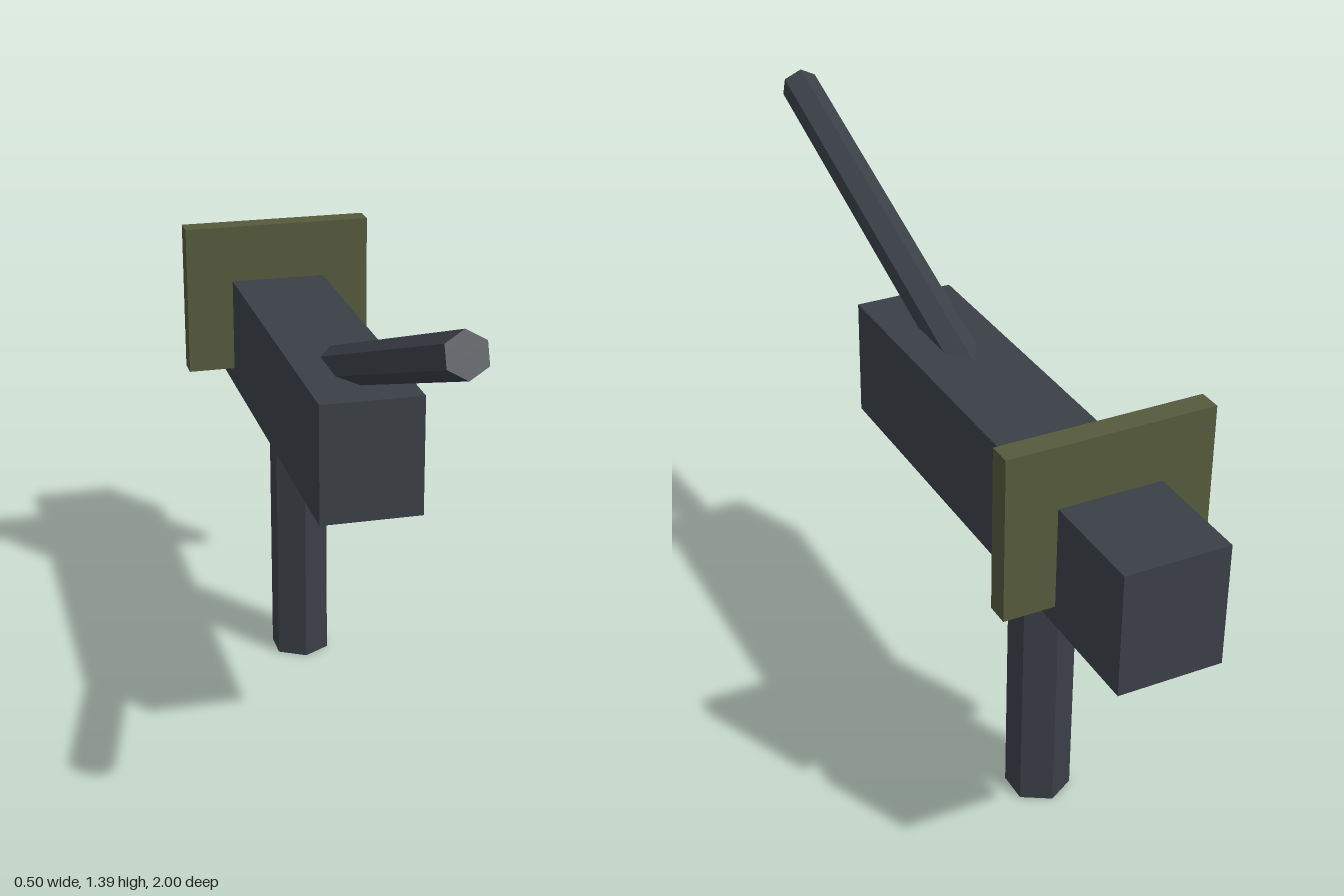
import * as THREE from 'three';

export function createModel() {
  const model = new THREE.Group();
  const gunmetal = new THREE.MeshStandardMaterial({ color: 0x3b4047 });
  gunmetal.name = 'gunmetal grey';
  const olive = new THREE.MeshStandardMaterial({ color: 0x555a3c });
  olive.name = 'olive green';
  gunmetal.flatShading = olive.flatShading = true;

  const add = (name, geometry, material, x, y, z) => {
    const mesh = new THREE.Mesh(geometry, material);
    mesh.name = name;
    mesh.position.set(x, y, z);
    model.add(mesh);
    return mesh;
  };

  // Long square body
  add('body', new THREE.BoxGeometry(0.253, 0.3, 1.315), gunmetal, 0, 0.86, -0.3425);

  // Upright plate through the rear of the body
  add('plate', new THREE.BoxGeometry(0.504, 0.403, 0.057), olive, 0, 0.961, -0.7);

  // Six-sided post, its top sunk into the body
  add('post', new THREE.CylinderGeometry(0.08, 0.08, 0.8, 6), gunmetal, 0, 0.4, -0.445);

  // Six-sided rod rising forward at 20 degrees, its foot sunk into the body
  const tilt = THREE.MathUtils.degToRad(70);
  const length = 1.2;
  const rod = add('rod', new THREE.CylinderGeometry(0.05, 0.05, length, 6), gunmetal,
    0, 1.344 - Math.cos(tilt) * length / 2, 0.983 - Math.sin(tilt) * length / 2);
  rod.rotation.x = tilt;

  return model;
}
